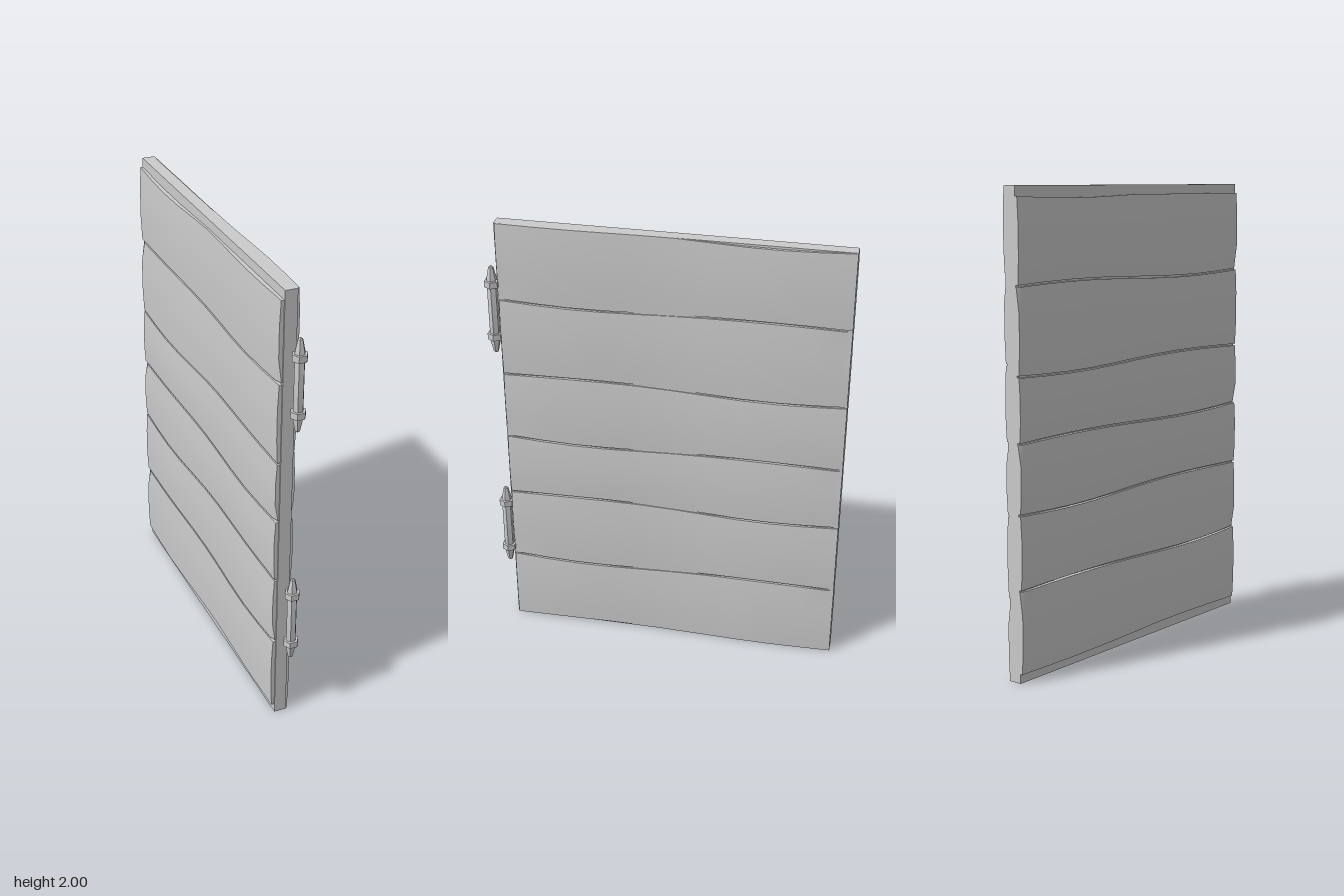
import * as THREE from 'three';
import { toCreasedNormals } from 'three/addons/utils/BufferGeometryUtils.js';

const material = new THREE.MeshStandardMaterial({ color: 0xcccccc });
const BACK = -0.77, FRONT = 0.715;

// Hewn plank: a subdivided box whose edges waver and whose outer face bulges.
// side is +1 or -1 in x; chips lists worn corners as [height, length] ends (0 or 1).
function plank({ side, inner, outer, y0, y1, wave0, wave1, yMin, yMax, chips }) {
  const rows = [0, 0.3, 0.7, 1];
  const stations = [0, 0.02, 0.1, 0.2, 0.3, 0.4, 0.5, 0.6, 0.7, 0.8, 0.9, 0.98, 1];
  const geo = new THREE.BoxGeometry(1, 1, 1, 1, rows.length - 1, stations.length - 1);
  const p = geo.attributes.position;
  for (let i = 0; i < p.count; i++) {
    const s = rows[Math.round((p.getY(i) + 0.5) * (rows.length - 1))];
    const t = stations[Math.round((p.getZ(i) + 0.5) * (stations.length - 1))];
    const z = THREE.MathUtils.lerp(BACK, FRONT, t);
    const sway = 0.01 * Math.sin((2 * Math.PI * (z + 0.05)) / 1.5);
    const y = THREE.MathUtils.lerp(y0 + wave0 * sway, y1 + wave1 * sway, s);
    let depth = inner;
    if (p.getX(i) * side > 0) {
      depth = outer - 0.005 * Math.cos((2 * Math.PI * z) / 0.9);
      if (s === 0 || s === 1) depth -= 0.005;
      if (chips.some(([cs, ct]) => cs === s && ct === t)) depth -= 0.009;
    }
    p.setXYZ(i, side * depth, THREE.MathUtils.clamp(y, yMin, yMax), z);
  }
  return new THREE.Mesh(toCreasedNormals(geo, 0.5), material);
}

// One face of stacked planks, separated by narrow gaps
function plankFace(name, side, inner, outer, seams) {
  const group = new THREE.Group();
  group.name = name;
  const last = seams.length - 1;
  for (let i = 0; i < last; i++) {
    const chips = i % 2 ? [[0, 1]] : [[1, 0]];
    const mesh = plank({
      side, inner, outer, chips,
      y0: seams[i] + (i ? 0.004 : 0),
      y1: seams[i + 1] - (i < last - 1 ? 0.004 : 0),
      wave0: i % 2 ? -1 : 1,
      wave1: i % 2 ? 1 : -1,
      yMin: seams[0], yMax: seams[last],
    });
    mesh.name = `${name}Plank${i + 1}`;
    group.add(mesh);
  }
  return group;
}

// Six-sided hinge pin with tapered tips and two collars
function hinge(name, y) {
  const group = new THREE.Group();
  group.name = name;
  const profile = [[0, 0], [0.011, 0.008], [0.022, 0.06], [0.022, 0.35], [0.011, 0.402], [0, 0.41]];
  const pinGeo = new THREE.LatheGeometry(profile.map(([r, h]) => new THREE.Vector2(r, h)), 6);
  const pin = new THREE.Mesh(toCreasedNormals(pinGeo, 0.3), material);
  pin.name = 'hingePin';
  group.add(pin);
  for (const h of [0.083, 0.328]) {
    const collar = new THREE.Mesh(
      toCreasedNormals(new THREE.CylinderGeometry(0.033, 0.033, 0.028, 6), 0.3), material);
    collar.name = 'hingeCollar';
    collar.position.y = h;
    group.add(collar);
  }
  group.rotation.y = Math.PI / 6;
  group.position.set(0.022, y, 0.742);
  return group;
}

export function createModel() {
  const model = new THREE.Group();
  model.name = 'door';

  // Solid core slab
  const core = new THREE.Mesh(new THREE.BoxGeometry(0.053, 2, 1.49), material);
  core.name = 'core';
  core.position.set(-0.0085, 1, -0.025);
  model.add(core);

  // Planks on both faces; those at -x stop short of the top and bottom
  model.add(plankFace('leftFace', 1, 0.01, 0.031, [0, 0.345, 0.69, 0.985, 1.3, 1.655, 2]));
  model.add(plankFace('rightFace', -1, 0.03, 0.054, [0.04, 0.385, 0.7, 0.985, 1.257, 1.61, 1.96]));

  // Hinges along the front edge
  model.add(hinge('lowerHinge', 0.3), hinge('upperHinge', 1.4));
  return model;
}
